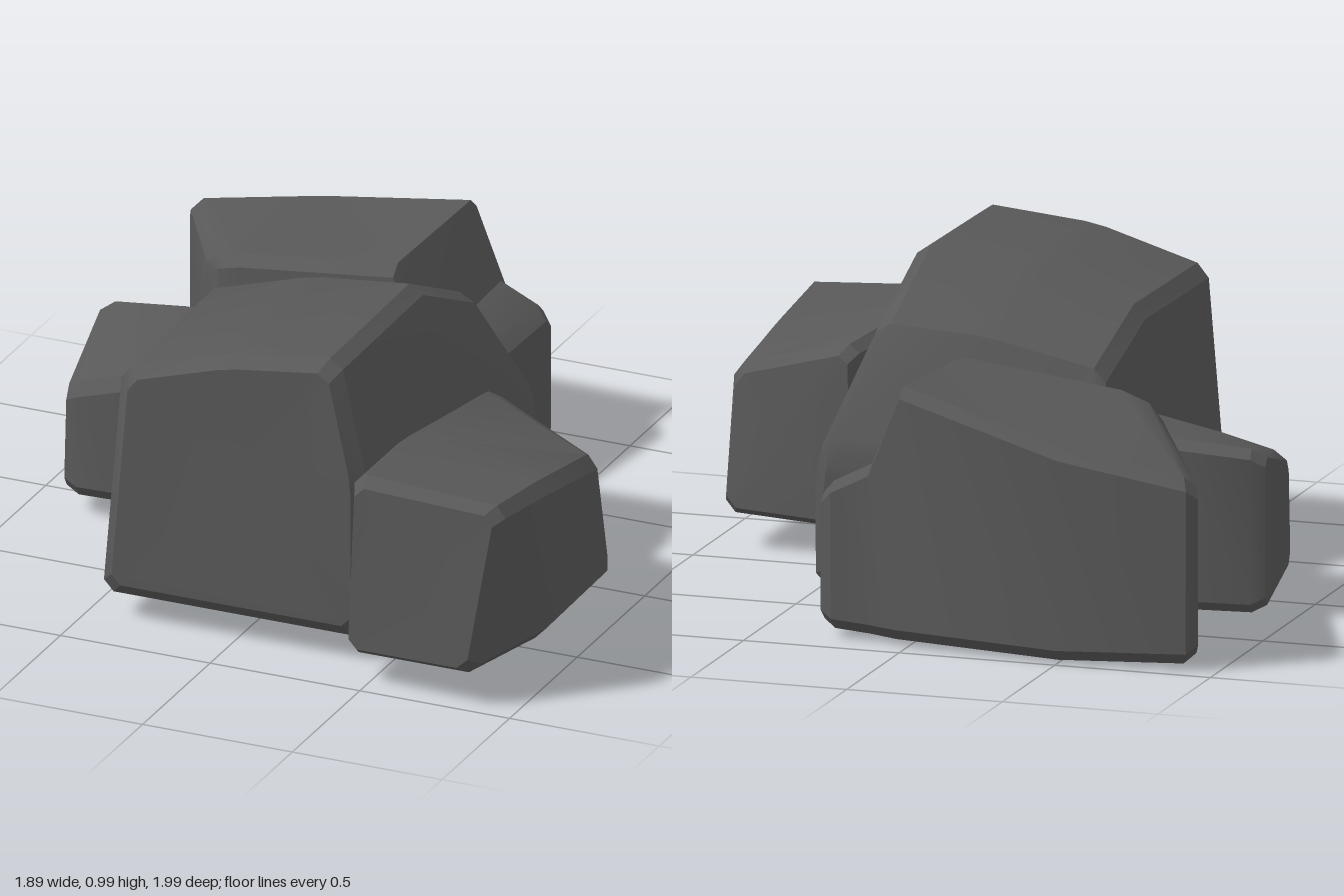
import * as THREE from 'three';
import { toCreasedNormals } from 'three/addons/utils/BufferGeometryUtils.js';

const V = (p) => new THREE.Vector3(...p);
const centre = (ring) => ring.reduce((s, p) => s.add(p), new THREE.Vector3()).divideScalar(ring.length);

// Replaces each corner of a section by two points, cutting the edge off
function chamfer(ring, bevel) {
  const n = ring.length;
  return ring.flatMap((p, i) => [ring[(i + n - 1) % n], ring[(i + 1) % n]].map((q) => {
    const d = p.distanceTo(q);
    return p.clone().lerp(q, Math.min(bevel / d, 0.3));
  }));
}

// Lofts a boulder through sections, with bevelled, closed ends.
// Corners run counter-clockwise as seen from the first end.
function boulder(name, sections, material, bevel = 0.035) {
  const rings = sections.map((s) => chamfer(s.map(V), bevel));
  const endCap = (ring, next) => {
    const c = centre(ring);
    const cap = ring.map((p) => p.clone().lerp(c, 0.09));
    const pulled = ring.map((p, j) => p.clone().lerp(next[j], Math.min(0.3, 0.045 / p.distanceTo(next[j]))));
    return [cap, pulled];
  };
  const last = rings.length - 1;
  const [capA, endA] = endCap(rings[0], rings[1]);
  const [capB, endB] = endCap(rings[last], rings[last - 1]);
  const loft = [capA, endA, ...rings.slice(1, -1), endB, capB];

  const pos = [];
  const tri = (...pts) => pts.forEach((p) => pos.push(p.x, p.y, p.z));
  const n = capA.length, cA = centre(capA), cB = centre(capB);
  for (let j = 0; j < n; j++) {
    const k = (j + 1) % n;
    for (let i = 0; i < loft.length - 1; i++) {
      const a = loft[i], b = loft[i + 1];
      tri(a[j], b[j], a[k]);
      tri(a[k], b[j], b[k]);
    }
    tri(cA, capA[j], capA[k]);
    tri(cB, capB[k], capB[j]);
  }
  const geo = new THREE.BufferGeometry();
  geo.setAttribute('position', new THREE.Float32BufferAttribute(pos, 3));
  const mesh = new THREE.Mesh(toCreasedNormals(geo, 0.5), material);
  mesh.name = name;
  return mesh;
}

export function createModel() {
  const group = new THREE.Group();
  group.name = 'rockCluster';
  const stone = new THREE.MeshStandardMaterial({ color: 0x585858 });

  // Tall middle boulder, lofted front to back
  group.add(boulder('mainBoulder', [
    [[-0.45, 0.08, 0.84], [0.43, 0.08, 0.84], [0.43, 0.6, 0.84], [0.33, 0.98, 0.81], [-0.03, 0.94, 0.83], [-0.39, 0.83, 0.83]],
    [[-0.45, 0.08, 0.18], [0.47, 0.08, 0.18], [0.45, 0.6, 0.18], [0.33, 0.99, 0.18], [-0.03, 0.95, 0.18], [-0.39, 0.84, 0.18]],
    [[-0.47, 0.02, -0.2], [0.5, 0.02, -0.22], [0.5, 0.45, -0.22], [0.34, 0.82, -0.17], [0, 0.8, -0.17], [-0.38, 0.72, -0.17]],
    [[-0.5, 0.02, -0.31], [0.5, 0.02, -0.35], [0.5, 0.36, -0.35], [0.48, 0.45, -0.35], [0, 0.44, -0.33], [-0.48, 0.43, -0.31]],
  ], stone));

  // Wedge-shaped boulder behind, stepping down at its +x end
  group.add(boulder('backBoulder', [
    [[-0.62, 0.01, -0.35], [-0.62, 0.68, -0.36], [-0.95, 0.59, -0.95], [-0.95, 0.02, -0.95]],
    [[-0.5, 0, -0.31], [-0.5, 0.72, -0.33], [-0.5, 0.67, -0.98], [-0.5, 0.01, -1.0]],
    [[0.04, 0, -0.3], [0.01, 0.78, -0.33], [0.04, 0.8, -0.88], [0.04, 0.02, -0.94]],
    [[0.13, 0.01, -0.29], [0.12, 0.51, -0.3], [0.14, 0.55, -0.88], [0.14, 0.02, -0.9]],
    [[0.26, 0.02, -0.3], [0.25, 0.43, -0.31], [0.3, 0.47, -0.89], [0.3, 0.03, -0.89]],
  ], stone));

  // Small boulder on the -x side
  group.add(boulder('smallBoulder', [
    [[-0.86, 0.07, 0.19], [-0.86, 0.42, 0.17], [-0.93, 0.54, -0.28], [-0.93, 0.02, -0.28]],
    [[-0.65, 0.07, 0.18], [-0.65, 0.48, 0.16], [-0.65, 0.56, -0.3], [-0.65, 0.02, -0.31]],
    [[-0.36, 0.08, 0.17], [-0.36, 0.55, 0.14], [-0.36, 0.55, -0.31], [-0.36, 0.02, -0.31]],
  ], stone));

  // Long boulder on the +x side
  group.add(boulder('sideBoulder', [
    [[0.42, 0.09, 0.96], [0.87, 0.11, 1.0], [0.95, 0.66, 0.95], [0.44, 0.68, 0.95]],
    [[0.45, 0.07, 0.6], [0.94, 0.09, 0.6], [0.95, 0.61, 0.6], [0.45, 0.69, 0.6]],
    [[0.5, 0.09, 0.08], [0.95, 0.11, 0.11], [0.95, 0.54, 0.21], [0.52, 0.67, 0.1]],
  ], stone));

  return group;
}
